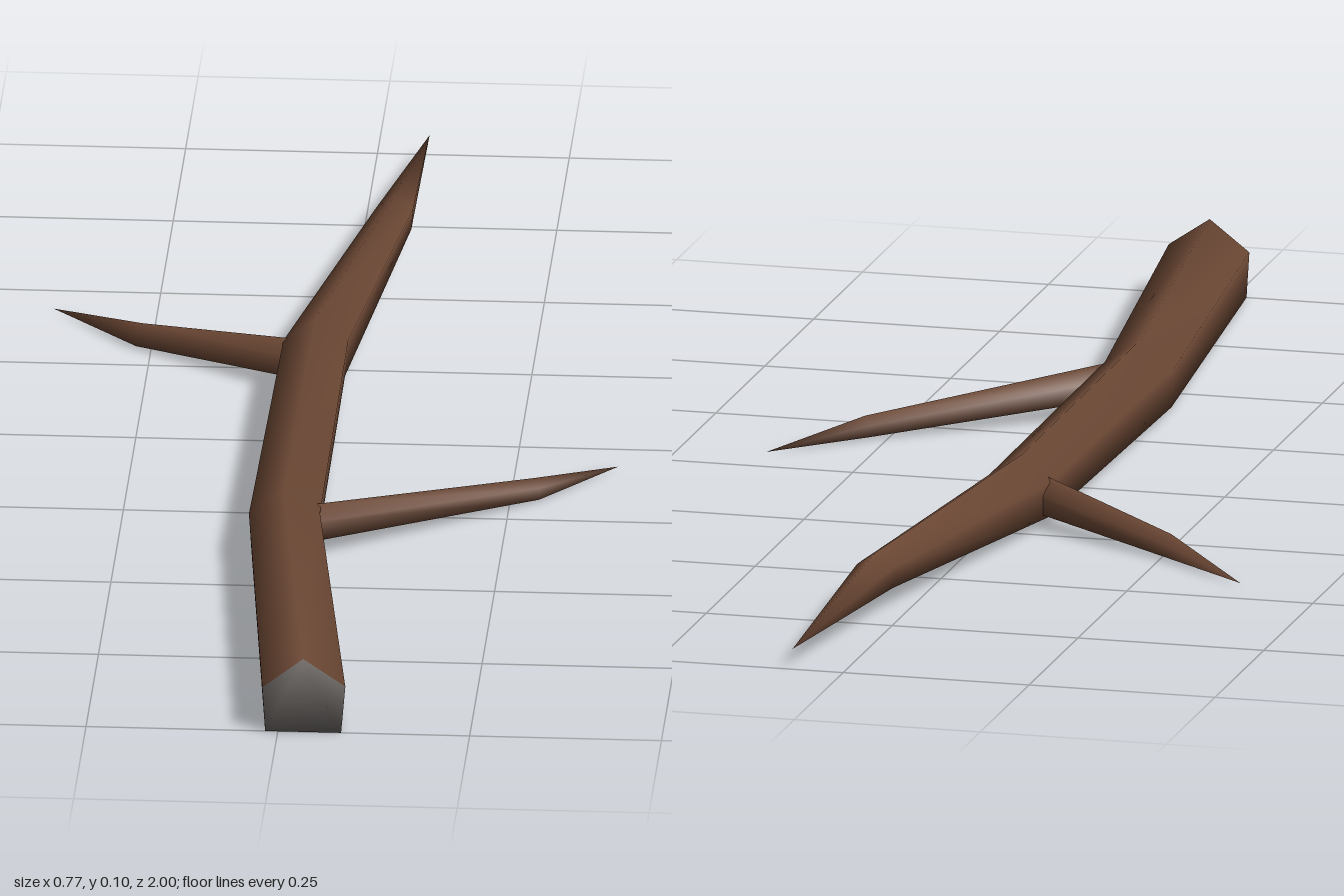
import * as THREE from 'three';

// Shared five-sided cross-section: [sideways, up], clockwise seen from the base
const PROFILE = [[0, 1], [1, 0.32], [0.9, -0.86], [-0.9, -0.86], [-0.97, 0.25]];

// Tapered limb through rings [x, y, z, radius], ending in a point.
// dir is the heading in plan [dx, dz]; the base is capped with material 1.
function limb(name, rings, tip, dir, materials) {
  const n = PROFILE.length;
  const len = Math.hypot(dir[0], dir[1]);
  const ux = -dir[1] / len, uz = dir[0] / len;
  const pos = [], index = [];
  for (const [x, y, z, r] of rings) {
    for (const [a, b] of PROFILE) pos.push(x + ux * a * r, y + b * r, z + uz * a * r);
  }
  const apex = pos.length / 3;
  pos.push(...tip);

  // Sides
  for (let i = 0; i < rings.length; i++) {
    for (let j = 0; j < n; j++) {
      const k = (j + 1) % n;
      const a = i * n + j, b = i * n + k;
      if (i === rings.length - 1) index.push(a, b, apex);
      else index.push(a, b, b + n, a, b + n, a + n);
    }
  }
  const sides = index.length;

  // Cut end, sharing its rim so the shading stays smooth
  for (let j = 1; j < n - 1; j++) index.push(0, j + 1, j);

  const geo = new THREE.BufferGeometry();
  geo.setAttribute('position', new THREE.Float32BufferAttribute(pos, 3));
  geo.setIndex(index);
  geo.addGroup(0, sides, 0);
  geo.addGroup(sides, index.length - sides, 1);
  geo.computeVertexNormals();
  const mesh = new THREE.Mesh(geo, materials);
  mesh.name = name;
  return mesh;
}

export function createModel() {
  const bark = new THREE.MeshStandardMaterial({ color: 0x6b4734 });
  bark.name = 'bark';
  const cutWood = new THREE.MeshStandardMaterial({ color: 0x6e6966 });
  cutWood.name = 'cutWood';

  const group = new THREE.Group();
  group.name = 'stick';

  // Main stem, cut at the front and pointed at the back
  group.add(limb('stem', [
    [0.033, 0.047, 1, 0.055],
    [-0.031, 0.048, 0.4, 0.047],
    [-0.029, 0.049, -0.2, 0.043],
    [0.043, 0.05, -0.67, 0.025],
  ], [0.068, 0.027, -1], [0, -1], [bark, cutWood]));

  // Side twigs, drooping to the ground
  group.add(limb('leftTwig', [
    [-0.02, 0.047, 0.4, 0.024],
    [0.28, 0.015, 0.178, 0.014],
  ], [0.383, 0.002, 0.065], [0.3, -0.24], [bark, bark]));
  group.add(limb('rightTwig', [
    [-0.02, 0.046, -0.17, 0.026],
    [-0.262, 0.016, -0.318, 0.015],
  ], [-0.385, 0.002, -0.432], [-0.3, -0.2], [bark, bark]));

  return group;
}
